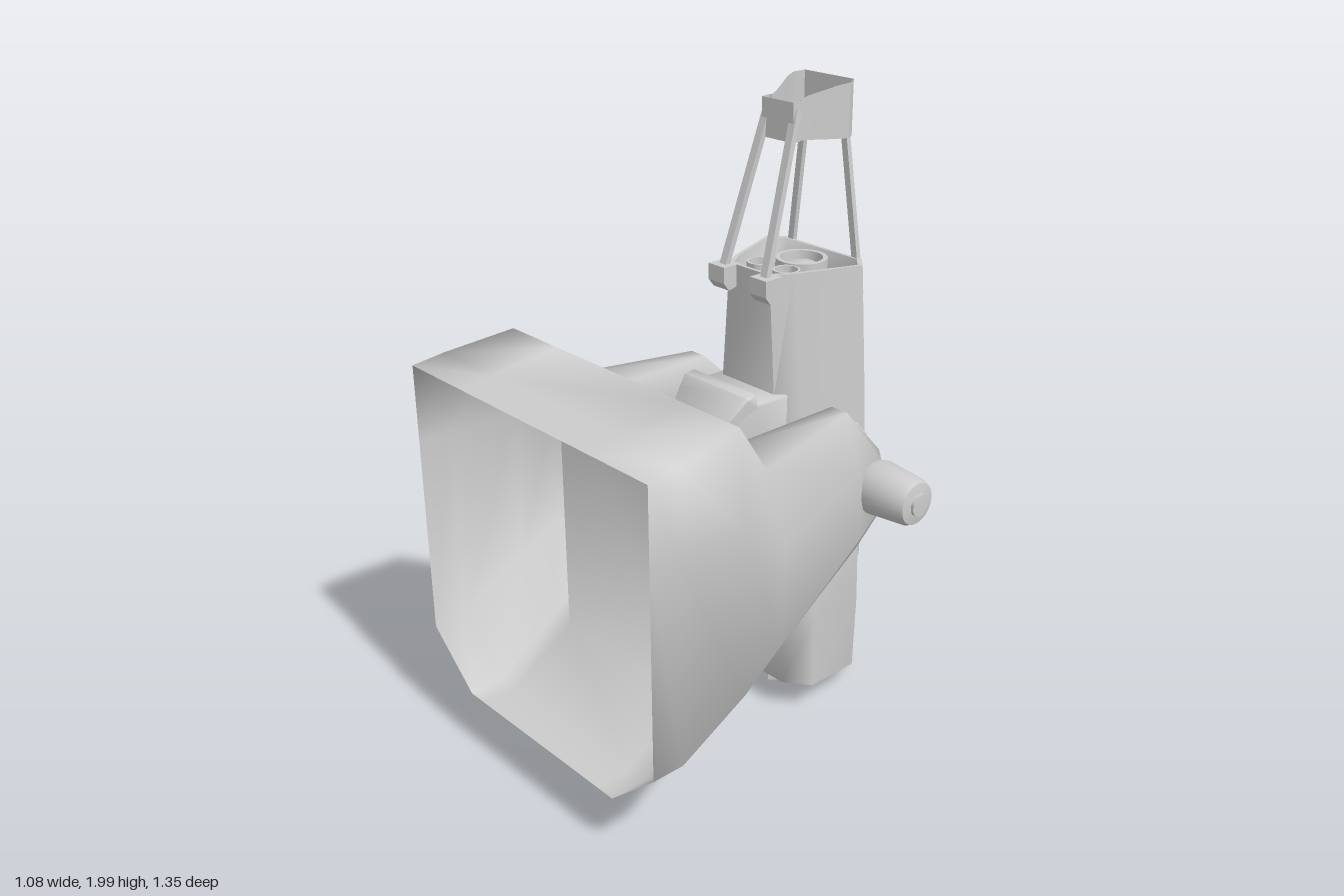
import * as THREE from 'three';
import { mergeGeometries, toCreasedNormals } from 'three/addons/utils/BufferGeometryUtils.js';

const CX = -0.018; // symmetry plane of the main assembly

export function createModel() {
  const model = new THREE.Group();
  const main = new THREE.Group();
  main.name = 'mainAssembly';
  main.position.x = CX;
  model.add(main);
  const mat = new THREE.MeshStandardMaterial({ color: 0xcccccc, side: THREE.DoubleSide });

  const add = (name, geo, pos = [0, 0, 0], parent = main) => {
    const mesh = new THREE.Mesh(geo, mat);
    mesh.name = name;
    mesh.position.set(...pos);
    parent.add(mesh);
    return mesh;
  };

  // Surface through a grid of points (rows of equal length)
  const patch = (rows) => {
    const p = [];
    for (let i = 0; i + 1 < rows.length; i++) {
      for (let j = 0; j + 1 < rows[i].length; j++) {
        const a = rows[i][j], b = rows[i][j + 1], c = rows[i + 1][j + 1], d = rows[i + 1][j];
        p.push(...a, ...b, ...c, ...a, ...c, ...d);
      }
    }
    const g = new THREE.BufferGeometry();
    g.setAttribute('position', new THREE.Float32BufferAttribute(p, 3));
    return g;
  };
  const flip = ([x, y, z]) => [-x, y, z];
  const mirror = (rows) => rows.map((r) => r.map(flip).reverse());
  const surface = (patches, crease) => toCreasedNormals(mergeGeometries(patches.map(patch)), crease);

  // Side profile of [z, y] points extruded across x
  const prism = (profile, width, bevel = 0) => {
    const shape = new THREE.Shape(profile.map(([z, y]) => new THREE.Vector2(z, y)));
    const g = new THREE.ExtrudeGeometry(shape, {
      depth: width - 2 * bevel, bevelEnabled: bevel > 0, bevelSize: bevel,
      bevelThickness: bevel, bevelOffset: -bevel, bevelSegments: 1,
    });
    return g.translate(0, 0, bevel - width / 2).rotateY(-Math.PI / 2);
  };
  const lathe = (pts, crease) => toCreasedNormals(
    new THREE.LatheGeometry(pts.map(([r, h]) => new THREE.Vector2(r, h)), 28), crease);

  // Fairing: thin shell, open at the front, splitting into two hollow arms.
  // z, top y, top x, upper side x/y, lower side x/y, bottom x/y
  const IN = 0.278;
  const stations = [
    [0.675, 1.24, 0.527, 0.527, 1.0, 0.527, 0.36, 0.345, 0.2],
    [0.57, 1.253, 0.525, 0.527, 1.0, 0.527, 0.36, 0.345, 0.2],
    [0.34, 1.28, 0.495, 0.527, 0.98, 0.527, 0.48, 0.36, 0.34],
    [0.2, 1.1, 0.455, 0.527, 0.9, 0.512, 0.56, 0.375, 0.424],
    [-0.24, 1.1, 0.34, 0.4, 0.92, 0.41, 0.71, 0.4, 0.68],
    [-0.45, 0.9, 0.29, 0.305, 0.86, 0.305, 0.7, 0.3, 0.68],
  ];
  const outer = stations.map(([z, yt, xt, xc, yc, xd, yd, xe, yb]) => [
    [IN, yt, z], [xt, yt, z], [xc, yc, z], [xd, yd, z], [xe, yb, z], [IN, yb, z],
  ]);
  const inner = outer.slice(2).map((r) => [r[5], r[0]]);
  const tip = outer[5];
  const cap = [tip.slice(0, 3), [tip[5], tip[4], tip[3]]];
  const halves = [outer, inner, cap];
  const across = (j) => outer.slice(0, 3).map((r) => r[j]);
  const bridge = [
    across(0).map((q) => [flip(q), q]),
    across(5).map((q) => [q, flip(q)]),
    [0, 5].map((j) => [flip(outer[2][j]), outer[2][j]]),
  ];
  add('fairingShell', surface([...halves, ...halves.map(mirror), ...bridge], 1.6));

  // Octagonal ring of the head. Half widths: front face, front side, back side, back face
  const ring = (y, a, f, b, c, zf, zb, yBack = y) => {
    const s = [[a, y, zf], [f, y, zf - 0.06], [b, y, zb + b - c], [c, yBack, zb]];
    const m = s.map(flip).reverse();
    return [m[3], ...s, ...m.slice(0, 3), m[3]];
  };
  const centre = (y, z) => Array.from({ length: 9 }, () => [0, y, z]);
  // Tower, broad at the back and narrowing to the front towards the top
  add('headTower', surface([[
    ring(0.5, 0.15, 0.22, 0.22, 0.15, -0.168, -0.528),
    ring(0.8, 0.135, 0.195, 0.226, 0.17, -0.166, -0.515),
    ring(1.1, 0.112, 0.163, 0.217, 0.168, -0.165, -0.5),
    ring(1.475, 0.085, 0.124, 0.203, 0.16, -0.165, -0.478),
    ring(1.475, 0.078, 0.115, 0.19, 0.15, -0.176, -0.467),
    ring(1.42, 0.075, 0.108, 0.165, 0.13, -0.185, -0.455),
    centre(1.42, -0.33),
  ]], 0.9));

  // Rear hood with rounded shoulders and a slanted lower lip
  add('lowerHood', surface([[
    centre(0.13, -0.32),
    ring(0.13, 0.13, 0.2, 0.2, 0.09, -0.2, -0.5, 0.1),
    ring(0.1, 0.15, 0.22, 0.22, 0.1, -0.185, -0.535, 0.02),
    ring(0.115, 0.17, 0.25, 0.25, 0.11, -0.168, -0.555, 0.01),
    ring(0.36, 0.17, 0.252, 0.252, 0.13, -0.164, -0.543),
    ring(0.5, 0.165, 0.242, 0.242, 0.135, -0.164, -0.535),
    ring(0.57, 0.157, 0.228, 0.228, 0.14, -0.166, -0.527),
    ring(0.61, 0.15, 0.213, 0.215, 0.14, -0.17, -0.515),
  ]], 1.0));

  // Nozzle under the hood
  add('nozzleRing', lathe([[0, 0.11], [0.06, 0.11], [0.07, 0.08], [0.1, 0.08], [0.115, 0.1], [0.115, 0.14]], 0.5),
    [0, 0, -0.31]);
  for (let i = 0; i < 8; i++) {
    const t = (i * Math.PI) / 4;
    const lug = add('nozzleLug', new THREE.BoxGeometry(0.065, 0.055, 0.03),
      [Math.sin(t) * 0.125, 0.092, -0.31 + Math.cos(t) * 0.11]);
    lug.rotation.y = t;
  }

  // Lenses recessed in the tower top
  const lens = (name, r, x, z) => add(name, lathe(
    [[0, 0.015], [r * 0.5, 0.012], [r * 0.8, 0], [r * 0.82, 0.03], [r, 0.03], [r, -0.02]], 0.5), [x, 1.435, z]);
  lens('mainLens', 0.08, 0, -0.385);
  for (const s of [-1, 1]) lens('smallLens', 0.042, s * 0.055, -0.265);

  // Front housing between the arms, narrowing forward
  const housing = prism([
    [-0.2, 0.62], [-0.13, 0.62], [-0.08, 0.565], [-0.03, 0.575], [0.105, 0.7], [0.105, 1.0],
    [0, 1.11], [-0.03, 1.14], [-0.065, 1.145], [-0.075, 1.108], [-0.2, 1.108],
  ], 0.28, 0.006);
  const hp = housing.attributes.position;
  for (let i = 0; i < hp.count; i++) {
    const k = THREE.MathUtils.clamp((hp.getZ(i) + 0.03) / 0.135, 0, 1);
    hp.setX(i, hp.getX(i) * (1 - 0.36 * k));
  }
  add('frontHousing', toCreasedNormals(housing, 0.9));

  // Pivot plates, hubs and the thin yoke joining them to the housing
  const yoke = [[0.265, -0.19], [0.255, -0.175], [0.19, -0.13], [0.11, -0.125], [0.11, -0.14], [0.185, -0.145], [0.245, -0.195]];
  for (const s of [-1, 1]) {
    add('pivotPlate', prism([
      [-0.22, 0.68], [-0.38, 0.68], [-0.425, 0.74], [-0.425, 0.95], [-0.38, 1.0],
      [-0.22, 1.0], [-0.17, 0.95], [-0.17, 0.74],
    ], 0.05, 0.008), [s * 0.242, 0, 0]);
    const plan = new THREE.Shape(yoke.map(([x, z]) => new THREE.Vector2(s * x, -z)));
    add('pivotYoke', new THREE.ExtrudeGeometry(plan, { depth: 0.22, bevelEnabled: false }).rotateX(-Math.PI / 2),
      [0, 0.73, 0]);
    add('pivotHub', new THREE.CylinderGeometry(0.08, 0.08, 0.03, 28).rotateZ(Math.PI / 2),
      [s * 0.262, 0.84, -0.345]);
  }

  // Motor knob on the left arm, turned about the x axis
  const knob = lathe([[0, 0.27], [0.065, 0.27], [0.065, 0.315], [0.05, 0.338], [0.04, 0.345], [0.082, 0.352],
    [0.086, 0.37], [0.074, 0.5], [0.066, 0.518], [0.035, 0.524], [0.035, 0.533], [0, 0.535]], 0.9);
  add('motorKnob', knob.rotateZ(-Math.PI / 2), [0, 0.84, -0.345], model);

  // Box and bracket on the back
  add('rearBox', prism([[-0.585, 0.56], [-0.675, 0.61], [-0.675, 0.88], [-0.585, 0.862], [-0.57, 0.84], [-0.57, 0.58]],
    0.1, 0.006), [-0.07, 0, 0]);
  add('rearBracket', prism([[-0.49, 0.6], [-0.53, 0.58], [-0.58, 0.62], [-0.58, 0.85], [-0.55, 0.84], [-0.49, 0.79]],
    0.07), [-0.09, 0, 0]);

  // Straight bar between two points
  const bar = (name, from, to, w, d) => {
    const a = new THREE.Vector3(...from), b = new THREE.Vector3(...to);
    const mesh = add(name, new THREE.BoxGeometry(w, a.distanceTo(b), d), a.clone().lerp(b, 0.5).toArray());
    mesh.quaternion.setFromUnitVectors(new THREE.Vector3(0, 1, 0), b.sub(a).normalize());
  };

  // Mast struts and their feet
  for (const s of [-1, 1]) {
    bar('frontStrut', [s * 0.088, 1.45, -0.14], [s * 0.055, 1.93, -0.29], 0.026, 0.018);
    bar('backStrut', [s * 0.15, 1.36, -0.484], [s * 0.08, 1.87, -0.468], 0.022, 0.016);
    add('strutFoot', prism([[-0.18, 1.41], [-0.135, 1.4], [-0.115, 1.425], [-0.115, 1.475], [-0.18, 1.475]], 0.068),
      [s * 0.088, 0, 0]);
  }

  // Mast head: thin sleeve open above and below, waisted toward the front
  const sleeve = [[-0.48, 0.098, 1.835, 2.0], [-0.45, 0.114, 1.836, 1.996], [-0.41, 0.1, 1.837, 1.99],
    [-0.33, 0.062, 1.84, 1.967], [-0.305, 0.056, 1.84, 1.958], [-0.3, 0.064, 1.84, 1.957], [-0.27, 0.064, 1.84, 1.955]];
  const wall = sleeve.map(([z, x, lo, hi]) => [[x, lo, z], [x, hi, z]]);
  const end = (r) => [r, r.map(flip)];
  add('mastHead', surface([wall, mirror(wall), end(wall[0]), end(wall[6])], 0.8));

  return model;
}
